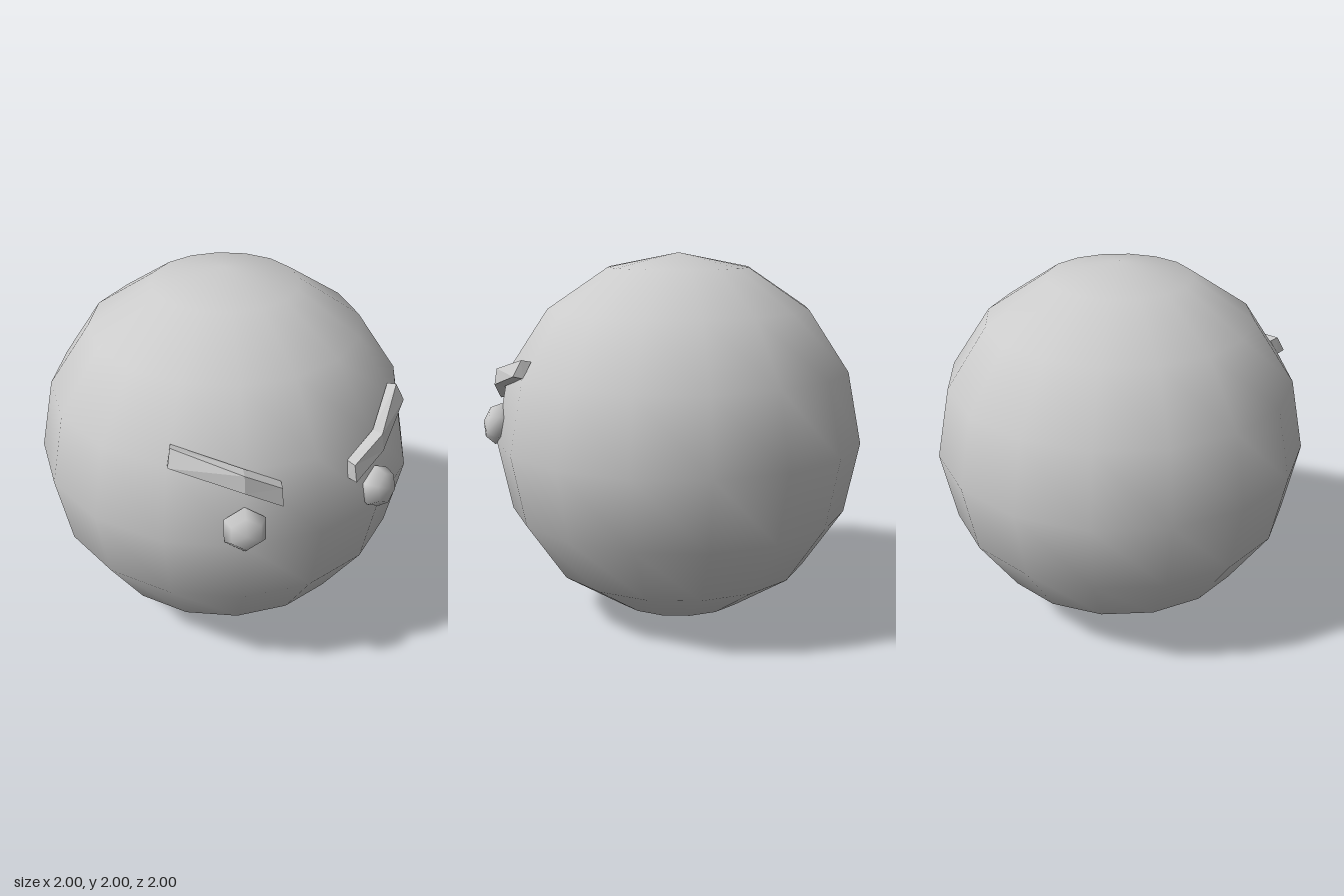
import * as THREE from 'three';

const grey = new THREE.MeshStandardMaterial({ color: 0xcccccc });
const flatGrey = new THREE.MeshStandardMaterial({ color: 0xcccccc, flatShading: true });

// Brow cross-sections from inner to outer end:
// front top, front bottom, back bottom, back top
const browSections = [
  [[0.2, 1.295, 0.95], [0.205, 1.205, 0.967], [0.185, 1.213, 0.918], [0.185, 1.305, 0.905]],
  [[0.38, 1.395, 0.908], [0.385, 1.308, 0.922], [0.365, 1.298, 0.872], [0.36, 1.4, 0.855]],
  [[0.635, 1.483, 0.66], [0.665, 1.402, 0.695], [0.645, 1.39, 0.65], [0.612, 1.473, 0.615]],
];

function browGeometry(side) {
  const positions = browSections.flat().flatMap(([x, y, z]) => [x * side, y, z]);
  const index = [];
  const quad = (a, b, c, d) =>
    index.push(...(side > 0 ? [a, b, c, a, c, d] : [a, c, b, a, d, c]));
  for (let s = 0; s < browSections.length - 1; s++) {
    for (let j = 0; j < 4; j++) {
      const k = (j + 1) % 4;
      quad(s * 4 + j, s * 4 + k, s * 4 + 4 + k, s * 4 + 4 + j);
    }
  }
  // End caps
  const e = (browSections.length - 1) * 4;
  quad(0, 3, 2, 1);
  quad(e, e + 1, e + 2, e + 3);

  const indexed = new THREE.BufferGeometry();
  indexed.setAttribute('position', new THREE.Float32BufferAttribute(positions, 3));
  indexed.setIndex(index);
  const geometry = indexed.toNonIndexed();
  geometry.computeVertexNormals();
  return geometry;
}

export function createModel() {
  const model = new THREE.Group();
  model.name = 'angryBall';

  // Round low-poly body with smooth normals
  const body = new THREE.Mesh(new THREE.SphereGeometry(1, 16, 8), grey);
  body.name = 'body';
  body.position.y = 1;
  model.add(body);

  // Flattened six-sided bead, pole facing outward, a corner on top
  const eyeGeometry = new THREE.SphereGeometry(0.115, 6, 4)
    .rotateX(Math.PI / 2)
    .rotateZ(Math.PI / 2)
    .scale(1, 1, 0.7);

  for (const side of [1, -1]) {
    const label = side > 0 ? 'left' : 'right';

    const eye = new THREE.Mesh(eyeGeometry, grey);
    eye.name = label + 'Eye';
    eye.position.set(0.377 * side, 1.094, 0.91);
    eye.rotation.set(-0.2, 0.38 * side, 0, 'YXZ');
    model.add(eye);

    const brow = new THREE.Mesh(browGeometry(side), flatGrey);
    brow.name = label + 'Brow';
    model.add(brow);
  }
  return model;
}
